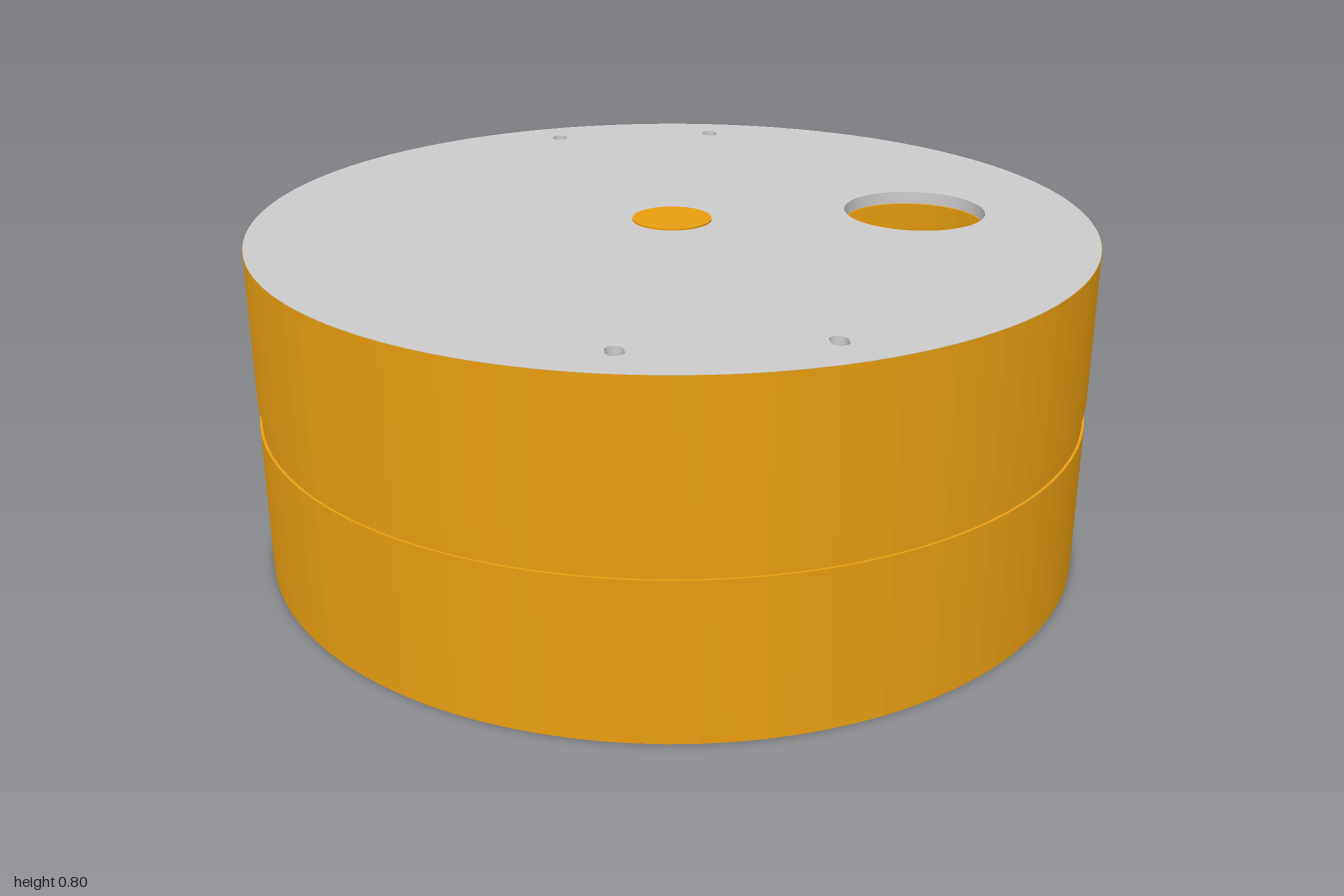
import * as THREE from 'three';

const SIDES = 96;
const TOP = 0.797, LID = 0.03;

// Round plate outline with the port and the four fixing slots cut out
function plateShape(radius) {
  const shape = new THREE.Shape();
  shape.absarc(0, 0, radius, 0, Math.PI * 2, false);
  const port = new THREE.Path();
  port.absarc(0.595, 0, 0.17, 0, Math.PI * 2, true);
  shape.holes.push(port);
  for (const x of [-0.217, 0.217]) {
    for (const y of [-0.857, 0.857]) {
      const slot = new THREE.Path();
      slot.absarc(x, y + 0.008, 0.019, 0, Math.PI, false);
      slot.absarc(x, y - 0.008, 0.019, Math.PI, Math.PI * 2, false);
      slot.closePath();
      shape.holes.push(slot);
    }
  }
  return shape;
}

export function createModel() {
  const group = new THREE.Group();
  const orange = new THREE.MeshStandardMaterial({ color: 0xe89d10, flatShading: true });
  const grey = new THREE.MeshStandardMaterial({ color: 0xcccccc, flatShading: true });
  const orangeSheet = new THREE.MeshStandardMaterial({ color: 0xe89d10, side: THREE.DoubleSide });

  const add = (name, geometry, material, y = 0) => {
    const mesh = new THREE.Mesh(geometry, material);
    mesh.name = name;
    mesh.position.y = y;
    group.add(mesh);
    return mesh;
  };

  // Thin cylindrical wall, open below, with a shallow groove around its middle
  const profile = [
    [0.988, 0], [1, 0], [1, 0.372], [0.994, 0.372], [0.994, 0.431],
    [1, 0.431], [1, TOP - 0.001], [0.988, TOP - 0.001], [0.988, 0],
  ].map(([r, y]) => new THREE.Vector2(r, y));
  add('sideWall', new THREE.LatheGeometry(profile, SIDES), orange);

  // Lid plate with real through holes
  const lid = new THREE.ExtrudeGeometry(plateShape(0.999), {
    depth: LID, bevelEnabled: false, curveSegments: SIDES,
  });
  lid.rotateX(-Math.PI / 2);
  add('lid', lid, grey, TOP - LID);

  // Coloured lining beneath the lid
  const lining = new THREE.ShapeGeometry(plateShape(0.989), SIDES);
  lining.rotateX(-Math.PI / 2);
  add('lidLining', lining, orangeSheet, TOP - LID - 0.002);

  // Small raised disc at the centre of the lid
  add('centreDisc', new THREE.CylinderGeometry(0.095, 0.095, 0.01, 64), orange, 0.796);

  return group;
}
